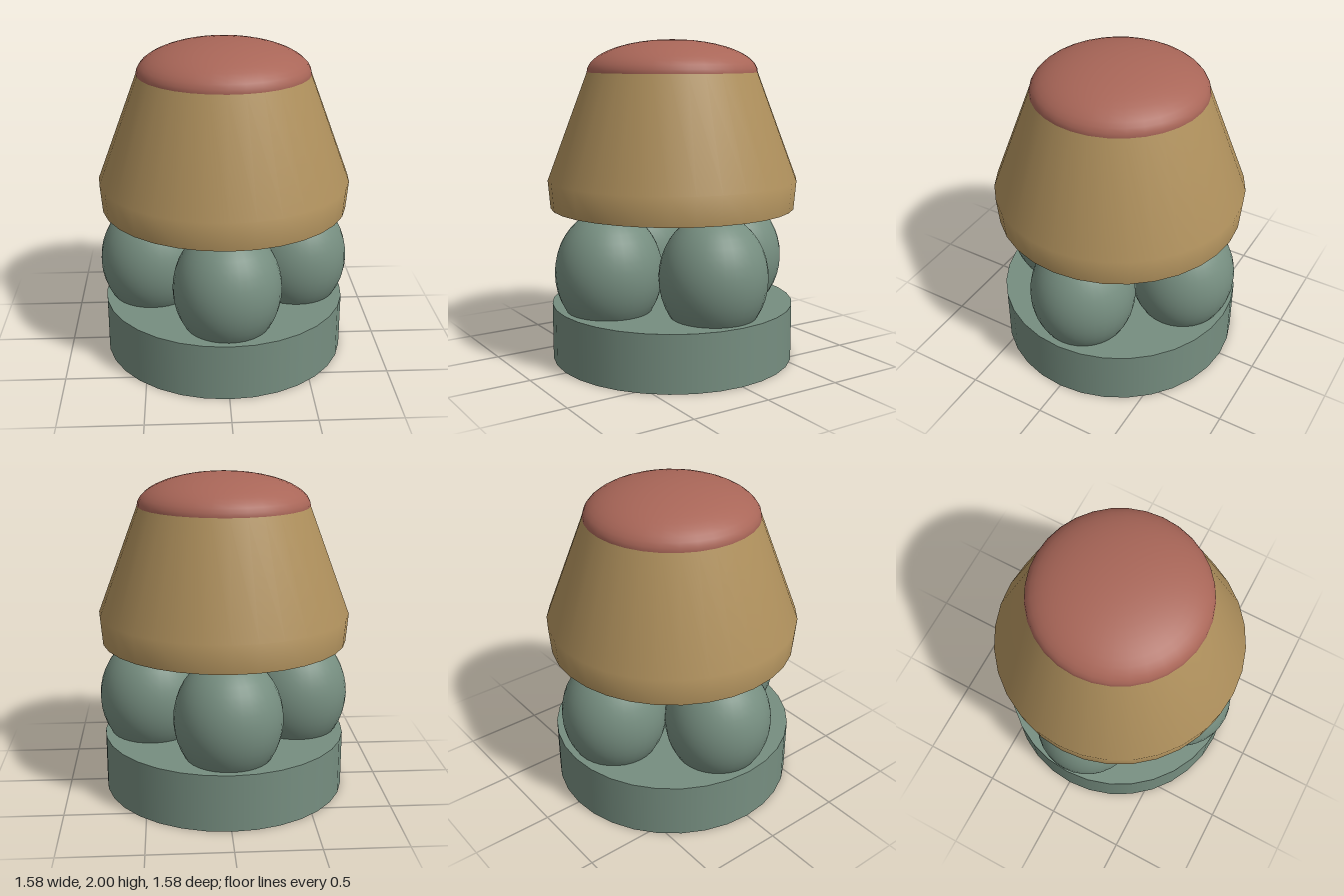
import * as THREE from 'three';

const mat = (name, color) => {
  const m = new THREE.MeshStandardMaterial({ color });
  m.name = name;
  return m;
};

export function createModel() {
  const group = new THREE.Group();
  const sage = mat('sage green', 0x768e80);
  const tan = mat('tan', 0xb0915d);
  const red = mat('dusty red', 0xa96658);
  const SIDES = 32;

  const add = (name, geometry, material, x = 0, y = 0, z = 0) => {
    const mesh = new THREE.Mesh(geometry, material);
    mesh.name = name;
    mesh.position.set(x, y, z);
    group.add(mesh);
    return mesh;
  };

  // Round plinth
  add('base', new THREE.CylinderGeometry(0.765, 0.765, 0.355, SIDES), sage, 0, 0.1775, 0);

  // Four egg-shaped supports, one on each axis
  const egg = new THREE.SphereGeometry(0.33, 32, 20).scale(1, 0.386 / 0.33, 1);
  for (let i = 0; i < 4; i++) {
    const a = (i * Math.PI) / 2;
    add('support' + (i + 1), egg, sage, 0.46 * Math.sin(a), 0.59, 0.46 * Math.cos(a));
  }

  // Tapered body with a narrow lower band
  const profile = [[0.765, 0.965], [0.78, 1.14], [0.53, 1.8]].map(([r, y]) => new THREE.Vector2(r, y));
  add('body', new THREE.LatheGeometry(profile, SIDES), tan);
  add('bodyUnderside', new THREE.CircleGeometry(0.765, SIDES).rotateX(Math.PI / 2), tan, 0, 0.965, 0);

  // Shallow domed cap
  const dome = new THREE.SphereGeometry(0.53, SIDES, 12, 0, Math.PI * 2, 0, Math.PI / 2);
  add('cap', dome.scale(1, 0.2 / 0.53, 1), red, 0, 1.8, 0);

  return group;
}
